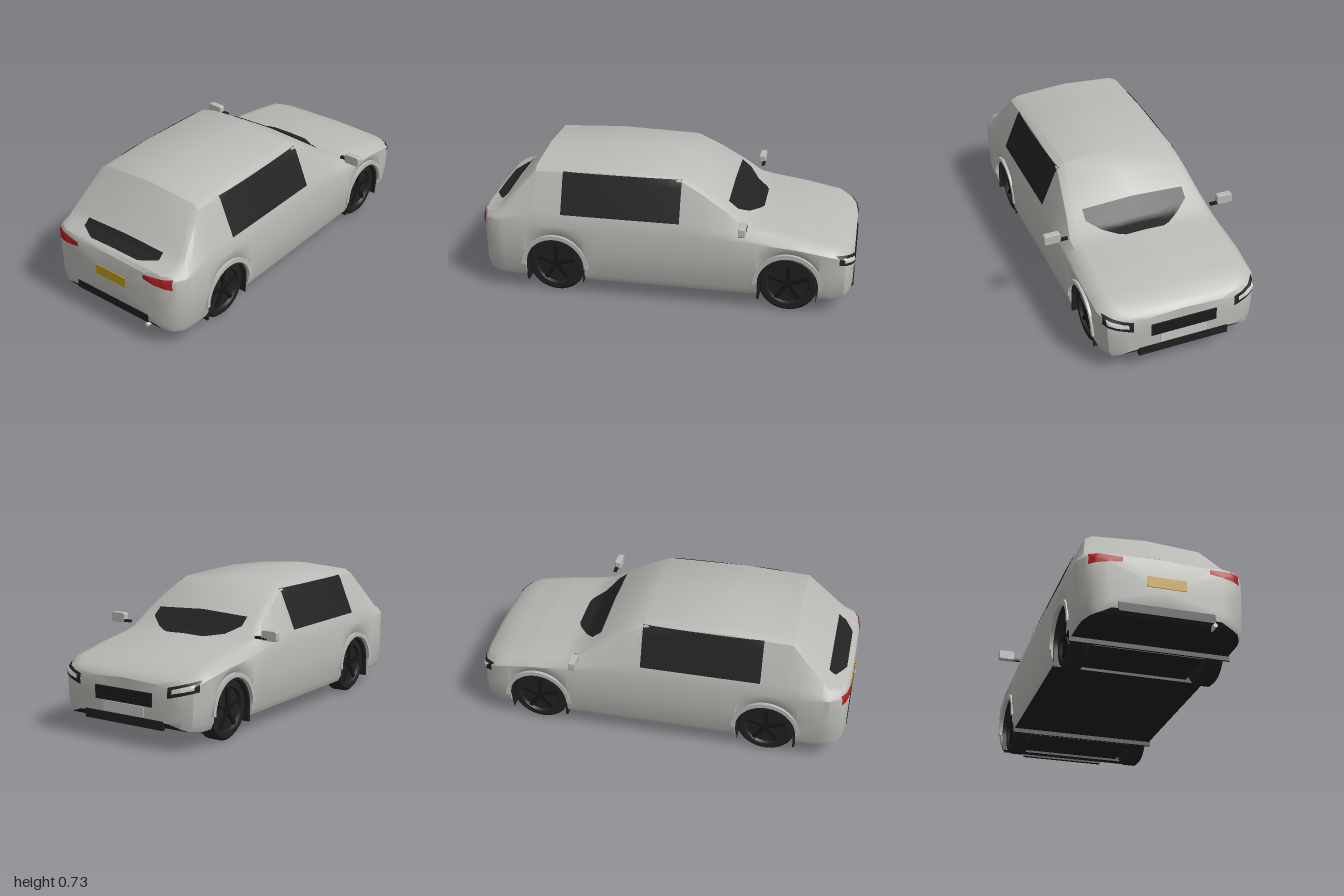
import * as THREE from 'three';
import { toCreasedNormals } from 'three/addons/utils/BufferGeometryUtils.js';

const mat = (name, color, side = THREE.FrontSide) => {
  const m = new THREE.MeshStandardMaterial({ color, side });
  m.name = name;
  return m;
};

// Body stations: x, bottom, roof centre, roof edge height, roof edge half width, belt height, half width
const STATIONS = [
  [-0.99, 0.14, 0.425, 0.405, 0.25, 0.38, 0.29],
  [-0.975, 0.115, 0.44, 0.43, 0.32, 0.40, 0.35],
  [-0.95, 0.105, 0.447, 0.435, 0.365, 0.41, 0.39],
  [-0.9, 0.095, 0.462, 0.445, 0.38, 0.41, 0.418],
  [-0.86, 0.09, 0.503, 0.48, 0.375, 0.41, 0.424],
  [-0.69, 0.09, 0.708, 0.665, 0.325, 0.40, 0.427],
  [-0.35, 0.09, 0.727, 0.68, 0.325, 0.40, 0.427],
  [0.08, 0.09, 0.715, 0.67, 0.325, 0.40, 0.427],
  [0.2, 0.09, 0.65, 0.61, 0.345, 0.40, 0.427],
  [0.33, 0.09, 0.565, 0.53, 0.365, 0.40, 0.427],
  [0.43, 0.09, 0.478, 0.455, 0.385, 0.395, 0.427],
  [0.5, 0.09, 0.463, 0.44, 0.385, 0.39, 0.427],
  [0.7, 0.09, 0.432, 0.41, 0.385, 0.375, 0.427],
  [0.88, 0.095, 0.39, 0.375, 0.385, 0.345, 0.42],
  [0.95, 0.105, 0.362, 0.345, 0.35, 0.32, 0.39],
  [0.975, 0.12, 0.347, 0.33, 0.31, 0.30, 0.35],
  [0.99, 0.14, 0.33, 0.31, 0.24, 0.28, 0.29],
];
const AXLES = [-0.58, 0.66];
const ARCH = 0.16, AXLE_Y = 0.155;

// Half section at x, from the floor centre up to the roof centre, as [z, y]
function section(x) {
  let i = 0;
  while (i < STATIONS.length - 2 && x > STATIONS[i + 1][0]) i++;
  const a = STATIONS[i], b = STATIONS[i + 1];
  const t = THREE.MathUtils.clamp((x - a[0]) / (b[0] - a[0]), 0, 1);
  let [, y0, yt, ys, zr, belt, w] = a.map((v, k) => v + (b[k] - v) * t);
  for (const c of AXLES) {
    const d = Math.abs(x - c);
    if (d <= ARCH + 1e-6) y0 = AXLE_Y + 0.005 + Math.sqrt(Math.max(0, ARCH * ARCH - d * d));
  }
  const y1 = y0 + 0.035;
  return [[0, y0], [0.94 * w, y0], [0.98 * w, y1], [0.997 * w, (y1 + belt) / 2], [w, belt],
    [w + (zr - w) * 0.17, belt + (ys - belt) * 0.25], [zr, ys],
    [zr - 0.04, ys + (yt - ys) * 0.55], [0, yt]];
}

function inside(x, y, z) {
  const s = section(x);
  if (y > s[8][1] || Math.abs(x) > 0.99) return false;
  let i = 1;
  while (i < 7 && y > s[i + 1][1]) i++;
  const t = Math.max(0, (y - s[i][1]) / (s[i + 1][1] - s[i][1]));
  return Math.abs(z) <= s[i][0] + (s[i + 1][0] - s[i][0]) * t;
}

// Surface from rows of points
function grid(rows) {
  const pos = rows.flat(2), n = rows[0].length, idx = [];
  for (let i = 0; i < rows.length - 1; i++) {
    for (let j = 0; j < n - 1; j++) {
      const a = i * n + j, b = a + n;
      idx.push(a, b, b + 1, a, b + 1, a + 1);
    }
  }
  const g = new THREE.BufferGeometry();
  g.setAttribute('position', new THREE.Float32BufferAttribute(pos, 3));
  g.setIndex(idx);
  g.computeVertexNormals();
  return g;
}

// Thin panel pressed onto the body along an axis ('x', 'y' or 'z')
function panel(axis, sign, u0, u1, lower, upper, lift = 0.005) {
  const place = { x: (u, v, f) => [f, v, u], y: (u, v, f) => [v, f, u], z: (u, v, f) => [u, v, f] }[axis];
  const rows = [];
  for (let i = 0; i <= 16; i++) {
    const k = i / 16, u = u0 + (u1 - u0) * k, row = [];
    for (let j = 0; j <= 10; j++) {
      const v = lower(u, k) + (upper(u, k) - lower(u, k)) * j / 10;
      let lo = { x: 0.85, y: 0.3, z: 0 }[axis], hi = 1;
      for (let n = 0; n < 24; n++) {
        const m = (lo + hi) / 2;
        if (inside(...place(u, v, sign * m))) lo = m; else hi = m;
      }
      row.push(place(u, v, sign * (lo + lift)));
    }
    rows.push(row);
  }
  return grid(rows);
}

export function createModel() {
  const car = new THREE.Group();
  car.name = 'car';
  const paint = mat('body paint', 0xb9b9b5);
  const glass = mat('dark glass', 0x222222, THREE.DoubleSide);
  const trim = mat('black trim', 0x202020);
  const rim = mat('wheel spokes', 0x151515);
  const lens = mat('lamp lens', 0xcacac8, THREE.DoubleSide);
  const red = mat('tail lamp red', 0xb01e1e, THREE.DoubleSide);
  const white = mat('front plate', 0xc4c4c0);
  const yellow = mat('rear plate', 0xc29a1c);

  const add = (name, geo, material, parent = car) => {
    const m = new THREE.Mesh(geo, material);
    m.name = name;
    parent.add(m);
    return m;
  };
  const box = (name, material, w, h, d, x, y, z, parent) => {
    const m = add(name, new THREE.BoxGeometry(w, h, d), material, parent);
    m.position.set(x, y, z);
    return m;
  };

  // Body shell with wheel arches rising through its lower edge
  const xs = STATIONS.map(s => s[0]);
  for (const c of AXLES) {
    xs.push(c - ARCH - 0.0005, c + ARCH + 0.0005);
    for (let i = 0; i <= 16; i++) xs.push(c - ARCH * Math.cos(Math.PI * i / 16));
  }
  xs.sort((a, b) => a - b);
  const rows = xs.map(x => {
    const s = section(x);
    return [...s.map(([z, y]) => [x, y, z]), ...s.slice(0, -1).reverse().map(([z, y]) => [x, y, -z])];
  });
  const cap = x => rows[0].map(() => [x, 0.26, 0]);
  add('bodyShell', toCreasedNormals(grid([cap(-0.99), ...rows, cap(0.99)]), 0.6), paint);

  // Dark underside
  add('underbody', toCreasedNormals(grid(xs.map(x => {
    const [z, y] = section(x)[1];
    return [[x, y - 0.003, -z], [x, y - 0.003, z]];
  })), 0.5), trim);

  // Windows
  add('windscreen', panel('y', 1, -0.28, 0.28, () => 0.33,
    z => 0.5 - Math.max(0, Math.abs(z) - 0.12) * 0.75), glass);
  add('rearWindow', panel('y', 1, -0.25, 0.25,
    z => -0.96 + Math.max(0, Math.abs(z) - 0.16) * 0.55, () => -0.875), glass);
  for (const s of [1, -1]) {
    const side = s > 0 ? 'right' : 'left';
    add(side + 'SideWindow', panel('z', s, -0.54, 0.09, () => 0.465, () => 0.675), glass);

    // Lamps
    add(side + 'HeadlampSurround', panel('x', 1, s * 0.27, s * 0.405,
      (u, k) => 0.262 + 0.035 * k, (u, k) => 0.315 + 0.035 * k), glass);
    add(side + 'HeadlampLens', panel('x', 1, s * 0.295, s * 0.395,
      (u, k) => 0.287 + 0.022 * k, (u, k) => 0.308 + 0.027 * k, 0.009), lens);
    add(side + 'TailLamp', panel('x', -1, s * 0.22, s * 0.38,
      (u, k) => 0.385 - 0.02 * k, (u, k) => 0.41 + 0.012 * k), red);

    // Door mirrors
    const mirror = new THREE.Group();
    mirror.name = side + 'Mirror';
    car.add(mirror);
    const r = 0.01, shape = new THREE.Shape();
    shape.absarc(0.032, 0.014, r, 0, Math.PI / 2);
    shape.absarc(-0.032, 0.014, r, Math.PI / 2, Math.PI);
    shape.absarc(-0.032, -0.014, r, Math.PI, Math.PI * 1.5);
    shape.absarc(0.032, -0.014, r, Math.PI * 1.5, Math.PI * 2);
    const shell = add('mirrorShell', new THREE.ExtrudeGeometry(shape,
      { depth: 0.026, bevelThickness: 0.004, bevelSize: 0.002, bevelSegments: 2, curveSegments: 5 }), paint, mirror);
    shell.rotation.y = Math.PI / 2;
    shell.position.set(0.414, 0.495, s * 0.482);
    box('mirrorArm', trim, 0.018, 0.012, 0.07, 0.435, 0.48, s * 0.435, mirror);
  }

  // Wheel arches, liners and wheels
  const archShape = (ro, ri, foot) => {
    const sh = new THREE.Shape();
    sh.moveTo(ro, foot);
    sh.absarc(0, 0, ro, 0, Math.PI);
    sh.lineTo(-ro, foot);
    sh.lineTo(-ri, foot);
    sh.absarc(0, 0, ri, Math.PI, 0, true);
    sh.lineTo(ri, foot);
    return sh;
  };
  const tyre = new THREE.LatheGeometry([[0, -0.047], [0.14, -0.047], [0.155, -0.032], [0.155, 0.032],
    [0.14, 0.047], [0.112, 0.047], [0.106, 0.032], [0, 0.032]].map(p => new THREE.Vector2(...p)), 36);
  const tyreGeo = toCreasedNormals(tyre.rotateX(Math.PI / 2), 0.5);
  AXLES.forEach((x, i) => {
    const end = i ? 'front' : 'rear';
    const liner = add(end + 'WheelWell', new THREE.ExtrudeGeometry(archShape(ARCH - 0.001, 0.148, -0.095),
      { depth: 0.82, bevelEnabled: false, curveSegments: 20 }), trim);
    liner.position.set(x, AXLE_Y + 0.004, -0.41);
    box(end + 'InnerWell', trim, 0.26, 0.2, 0.57, x, 0.17, 0);
    for (const s of [1, -1]) {
      const lip = add(end + 'ArchLip', new THREE.ExtrudeGeometry(archShape(0.182, ARCH, 0),
        { depth: 0.02, bevelEnabled: false, curveSegments: 14 }), paint);
      lip.position.set(x, AXLE_Y + 0.005, s * 0.419 - 0.01);
      const wheel = new THREE.Group();
      wheel.name = end + 'Wheel';
      wheel.position.set(x, AXLE_Y, s * 0.343);
      if (s < 0) wheel.rotation.y = Math.PI;
      car.add(wheel);
      add('tyre', tyreGeo, trim, wheel);
      for (let k = 0; k < 5; k++) {
        const a = Math.PI / 2 + k * Math.PI * 0.4;
        box('spoke', rim, 0.1, 0.02, 0.014, Math.cos(a) * 0.055, Math.sin(a) * 0.055, 0.037, wheel).rotation.z = a;
      }
      const hub = add('hub', new THREE.CylinderGeometry(0.022, 0.022, 0.018, 16), rim, wheel);
      hub.rotation.x = Math.PI / 2;
      hub.position.z = 0.037;
    }
  });

  // Front: grille with slats, plate and lower intake
  box('grille', trim, 0.012, 0.07, 0.35, 0.988, 0.24, 0);
  for (let i = 0; i < 4; i++) box('grilleSlat', rim, 0.004, 0.006, 0.34, 0.995, 0.217 + i * 0.015, 0);
  box('frontPlate', white, 0.008, 0.052, 0.25, 0.99, 0.177, 0);
  box('frontIntake', trim, 0.02, 0.045, 0.48, 0.985, 0.123, 0);

  // Rear: plate, bumper insert and exhaust
  box('rearPlate', yellow, 0.008, 0.055, 0.2, -0.99, 0.3, 0);
  box('rearBumperInsert', trim, 0.02, 0.045, 0.48, -0.983, 0.148, 0);
  const pipe = add('exhaust', new THREE.CylinderGeometry(0.011, 0.011, 0.1, 14), lens);
  pipe.rotation.z = Math.PI / 2;
  pipe.position.set(-0.95, 0.112, 0.235);

  return car;
}
